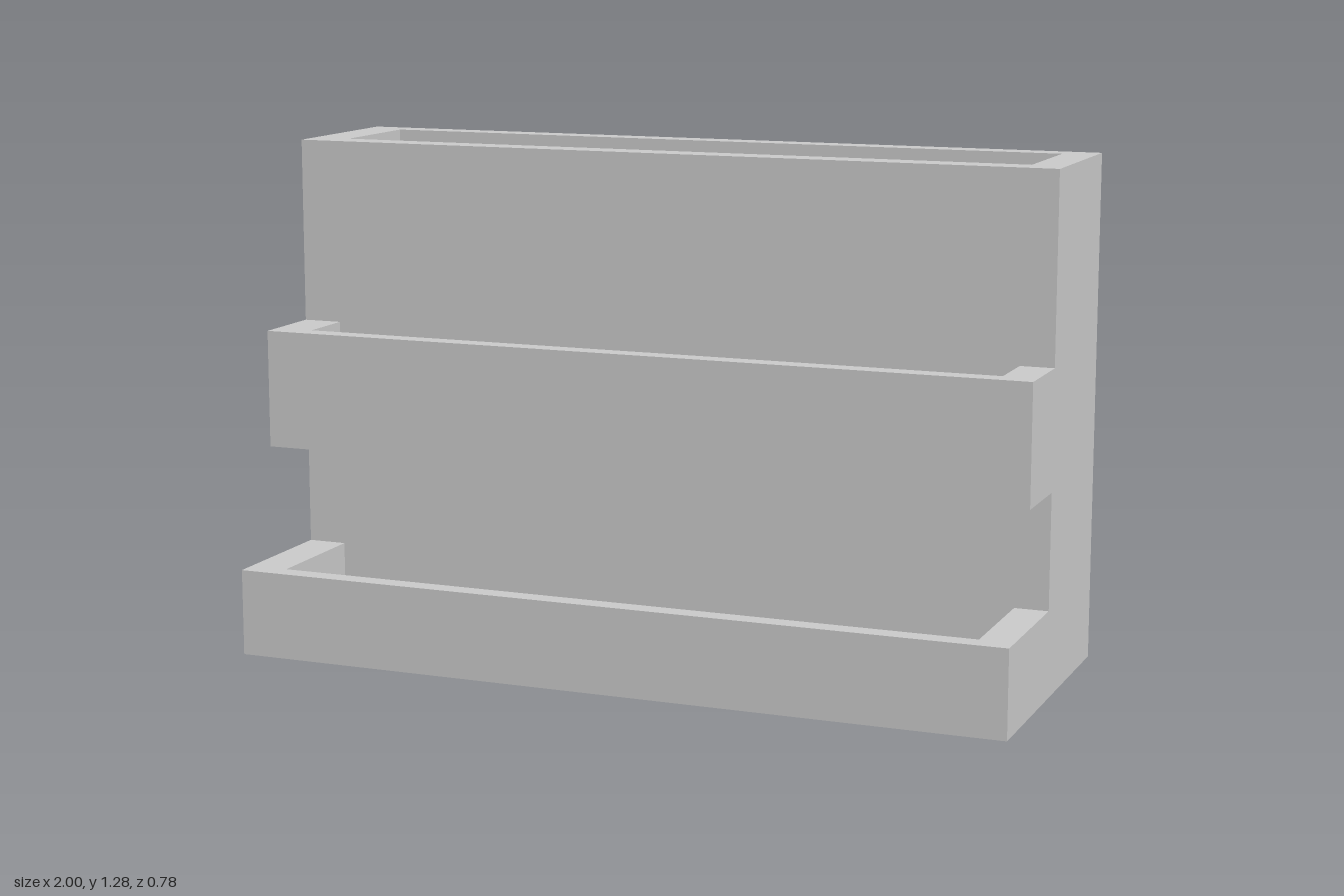
import * as THREE from 'three';

const LEFT = 1, RIGHT = -1;                   // outer ends
const IN_LEFT = 0.915, IN_RIGHT = -0.9;       // pocket ends
const BACK = -0.39, FACE = 0.03;              // back and front of the tall bin
const FLOOR = 0.1;                            // floor thickness

const material = new THREE.MeshStandardMaterial({ color: 0xcccccc, flatShading: true });

// Outline given as [x, z] points
const outline = (points) => points.map(([x, z]) => new THREE.Vector2(x, -z));
const rect = (x0, x1, z0, z1) => [[x0, z1], [x1, z1], [x1, z0], [x0, z0]];

// Vertical prism from a plan outline with optional hole
function prism(name, points, y0, y1, hole) {
  const shape = new THREE.Shape(outline(points));
  if (hole) shape.holes.push(new THREE.Path(outline(hole)));
  const geometry = new THREE.ExtrudeGeometry(shape, { depth: y1 - y0, bevelEnabled: false });
  geometry.rotateX(-Math.PI / 2).translate(0, y0, 0);
  const mesh = new THREE.Mesh(geometry, material);
  mesh.name = name;
  return mesh;
}

// Tall closed-bottom bin
function tallBin() {
  const group = new THREE.Group();
  group.name = 'tallBin';
  const pocket = rect(IN_RIGHT, IN_LEFT, -0.33, -0.04);
  group.add(
    prism('binWalls', rect(RIGHT, LEFT, BACK, FACE), 0, 1.28, pocket),
    prism('binFloor', pocket, 0, FLOOR),
  );
  return group;
}

// Open tray whose back is the face of the tall bin
function frontTray(name, y0, y1, front, innerFront) {
  const group = new THREE.Group();
  group.name = name;
  const walls = [
    [RIGHT, FACE], [RIGHT, front], [LEFT, front], [LEFT, FACE],
    [IN_LEFT, FACE], [IN_LEFT, innerFront], [IN_RIGHT, innerFront], [IN_RIGHT, FACE],
  ];
  group.add(
    prism(name + 'Walls', walls, y0, y1),
    prism(name + 'Floor', rect(IN_RIGHT, IN_LEFT, FACE, innerFront), y0, y0 + FLOOR),
  );
  return group;
}

export function createModel() {
  const model = new THREE.Group();
  model.name = 'tieredOrganizer';
  model.add(
    tallBin(),
    frontTray('middleTray', 0.51, 0.81, 0.23, 0.18),
    frontTray('lowerTray', 0, 0.22, 0.39, 0.34),
  );
  return model;
}
